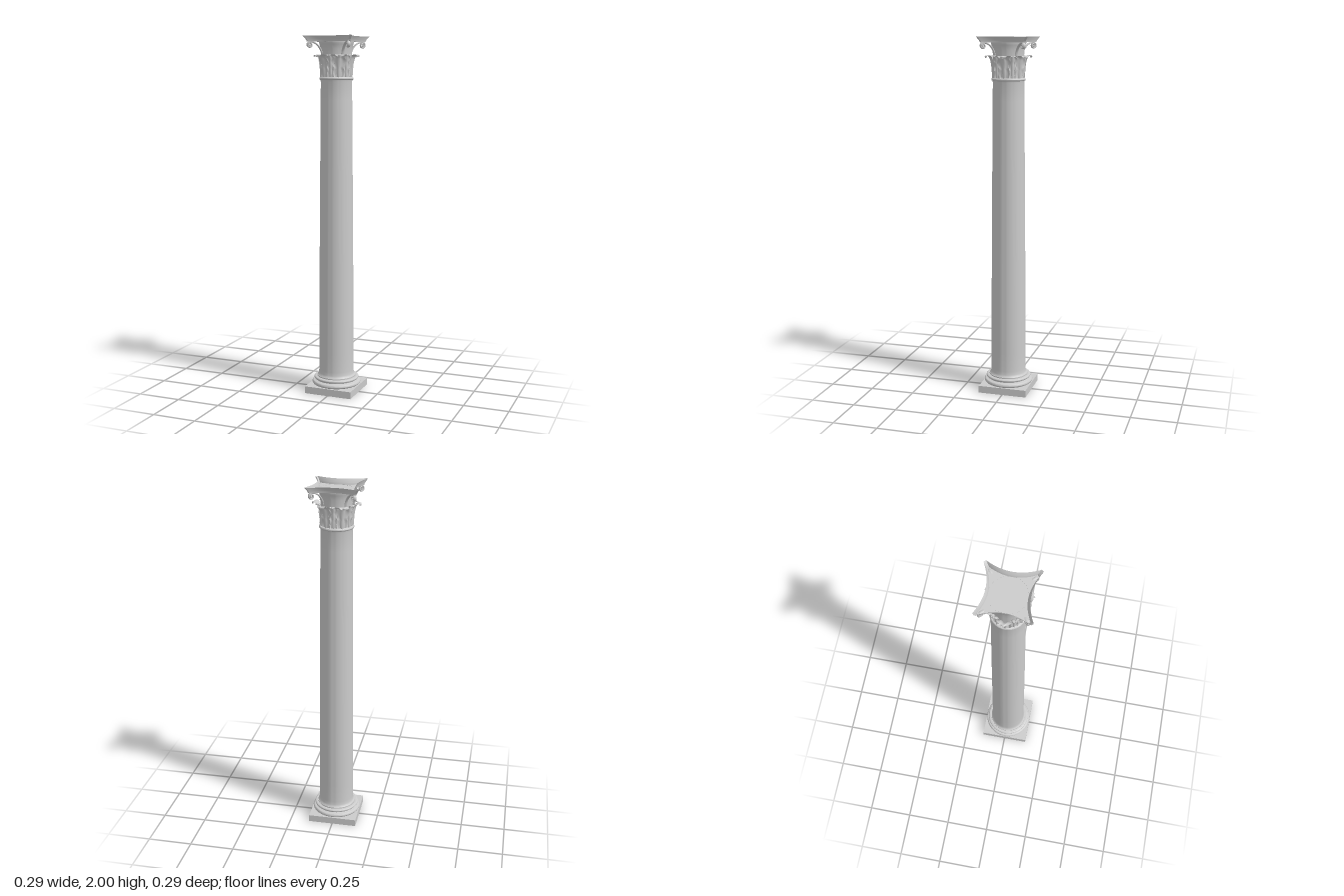
import * as THREE from 'three';
import { toCreasedNormals } from 'three/addons/utils/BufferGeometryUtils.js';

const material = new THREE.MeshStandardMaterial({ color: 0xcccccc, side: THREE.DoubleSide });

function addMesh(parent, name, geometry) {
  const mesh = new THREE.Mesh(geometry, material);
  mesh.name = name;
  parent.add(mesh);
  return mesh;
}

// Turned part from [radius, height] pairs, with hard edges kept sharp
function turned(points, crease = 0.7) {
  const profile = points.map(([r, y]) => new THREE.Vector2(r, y));
  return toCreasedNormals(new THREE.LatheGeometry(profile, 64), crease);
}

// Half-round moulding profile bulging outwards
function bulge(r, y0, y1, steps = 8) {
  const h = (y1 - y0) / 2;
  return Array.from({ length: steps + 1 }, (_, i) => {
    const a = -Math.PI / 2 + (Math.PI * i) / steps;
    return [r - h + h * Math.cos(a), (y0 + y1) / 2 + h * Math.sin(a)];
  });
}

// Surface through a grid of points given by f(u, v), u and v from 0 to 1
function gridSurface(nu, nv, f, crease) {
  const pos = [], index = [];
  for (let j = 0; j <= nv; j++) {
    for (let i = 0; i <= nu; i++) pos.push(...f(i / nu, j / nv));
  }
  for (let j = 0; j < nv; j++) {
    for (let i = 0; i < nu; i++) {
      const a = j * (nu + 1) + i, b = a + nu + 1;
      index.push(a, a + 1, b, a + 1, b + 1, b);
    }
  }
  const g = new THREE.BufferGeometry();
  g.setAttribute('position', new THREE.Float32BufferAttribute(pos, 3));
  g.setIndex(index);
  g.computeVertexNormals();
  return crease ? toCreasedNormals(g, crease) : g;
}

// Four concave sides joined by clipped corners, as a closed [x, z] loop
function abacusOutline(a, c, mid, steps = 16) {
  const loop = [];
  for (let side = 0; side < 4; side++) {
    const angle = (side * Math.PI) / 2, cs = Math.cos(angle), sn = Math.sin(angle);
    for (let i = 0; i <= steps; i++) {
      const k = (2 * i) / steps - 1;
      const x = a * k, z = mid + (c - mid) * k * k;
      loop.push([x * cs + z * sn, z * cs - x * sn]);
    }
  }
  loop.push(loop[0]);
  return loop;
}

// Flared slab rim with a sunken floor
function buildAbacus(parent) {
  const y0 = 1.97, y1 = 2, levels = 5;
  const loops = [];
  for (let j = 0; j <= levels; j++) {
    const s = Math.pow(j / levels, 1.4);
    loops.push(abacusOutline(0.116 + 0.017 * s, 0.126 + 0.017 * s, 0.094 + 0.013 * s));
  }
  const n = loops[0].length - 1;
  addMesh(parent, 'abacusRim', gridSurface(n, levels, (u, v) => {
    const j = Math.round(v * levels);
    const [x, z] = loops[j][Math.round(u * n)];
    return [x, y0 + (y1 - y0) * v, z];
  }, 0.6));

  const shape = new THREE.Shape(loops[0].slice(0, -1).map(([x, z]) => new THREE.Vector2(x, -z)));
  const floor = new THREE.ShapeGeometry(shape).rotateX(-Math.PI / 2).translate(0, y0, 0);
  addMesh(parent, 'abacusFloor', floor);
}

// Lobed leaf wrapped round the bell; path gives [radius, height] from root to tip
function leafGeometry(path, halfWidth, lobes) {
  const curve = new THREE.CatmullRomCurve3(path.map(([r, y]) => new THREE.Vector3(r, y, 0)));
  return gridSurface(8, 30, (u, v) => {
    const p = curve.getPoint(v), k = 2 * u - 1;
    const outline = 0.7 + 0.3 * Math.sin(Math.PI * Math.min(1, v * 1.3)) - 0.35 * v * v;
    const notch = 0.72 + 0.28 * Math.abs(Math.sin(Math.PI * lobes * v + 0.6));
    const across = k * halfWidth * outline * notch;
    // raised midrib with a furrow on either side
    const relief = 0.006 * Math.cos(k * Math.PI * 2) * (1 - 0.4 * v) - 0.003 * k * k;
    const r = p.x + relief, angle = across / 0.092;
    return [r * Math.cos(angle), p.y, -r * Math.sin(angle)];
  });
}

// Stalk rising from the bell and rolling up under the abacus corner
function voluteGeometry() {
  const pts = [[0.082, 1.895], [0.092, 1.925], [0.112, 1.952], [0.136, 1.966]];
  const cx = 0.156, cy = 1.952;
  for (let i = 0; i <= 18; i++) {
    const a = Math.PI / 2 - (i / 18) * Math.PI * 3.2;
    const r = 0.016 - 0.012 * (i / 18);
    pts.push([cx + r * Math.cos(a), cy + r * Math.sin(a)]);
  }
  const curve = new THREE.CatmullRomCurve3(pts.map(([r, y]) => new THREE.Vector3(r, y, 0)));
  return new THREE.TubeGeometry(curve, 70, 0.0045, 8).scale(1, 1, 1.9);
}

export function createModel() {
  const column = new THREE.Group();
  column.name = 'column';

  // Plinth, open underneath
  const plinth = new THREE.BoxGeometry(0.277, 0.04, 0.277).translate(0, 0.02, 0);
  const faces = Array.from(plinth.index.array);
  faces.splice(18, 6);
  plinth.setIndex(faces);
  addMesh(column, 'plinth', plinth);

  // Moulded base: large torus, hollow, small torus, fillet
  addMesh(column, 'base', turned([
    [0.1, 0.04], ...bulge(0.138, 0.04, 0.063),
    [0.122, 0.063], [0.117, 0.066], [0.117, 0.07],
    ...bulge(0.127, 0.07, 0.086),
    [0.11, 0.086], [0.11, 0.092], [0.098, 0.092],
  ]));

  // Shaft tapering with a slight swelling
  const shaft = [[0.108, 0.092], [0.103, 0.097], [0.1, 0.106]];
  for (let i = 0; i <= 16; i++) {
    const t = i / 16;
    shaft.push([0.0985 - 0.0125 * Math.pow(t, 1.3), 0.125 + 1.63 * t]);
  }
  shaft.push([0.088, 1.765]);
  addMesh(column, 'shaft', turned(shaft));
  addMesh(column, 'neckRing', turned([[0.08, 1.763], ...bulge(0.094, 1.764, 1.78), [0.08, 1.78]]));

  // Capital
  const capital = new THREE.Group();
  capital.name = 'capital';
  column.add(capital);
  addMesh(capital, 'bell', turned([
    [0.083, 1.778], [0.083, 1.84], [0.084, 1.89], [0.087, 1.93],
    [0.092, 1.955], [0.096, 1.964], [0.096, 1.971],
  ]));

  const frontLeaf = leafGeometry([
    [0.085, 1.778], [0.089, 1.82], [0.094, 1.86], [0.104, 1.89],
    [0.118, 1.9], [0.128, 1.896], [0.128, 1.888],
  ], 0.04, 4);
  const backLeaf = leafGeometry([
    [0.084, 1.778], [0.087, 1.83], [0.091, 1.87], [0.099, 1.896],
    [0.108, 1.9], [0.112, 1.893],
  ], 0.027, 5);
  for (let i = 0; i < 6; i++) {
    addMesh(capital, 'leaf', frontLeaf).rotation.y = (i * Math.PI) / 3;
    addMesh(capital, 'innerLeaf', backLeaf).rotation.y = ((i + 0.5) * Math.PI) / 3;
  }

  const volute = voluteGeometry();
  for (let i = 0; i < 4; i++) {
    addMesh(capital, 'volute', volute).rotation.y = Math.PI / 4 + (i * Math.PI) / 2;
  }
  buildAbacus(capital);

  return column;
}
